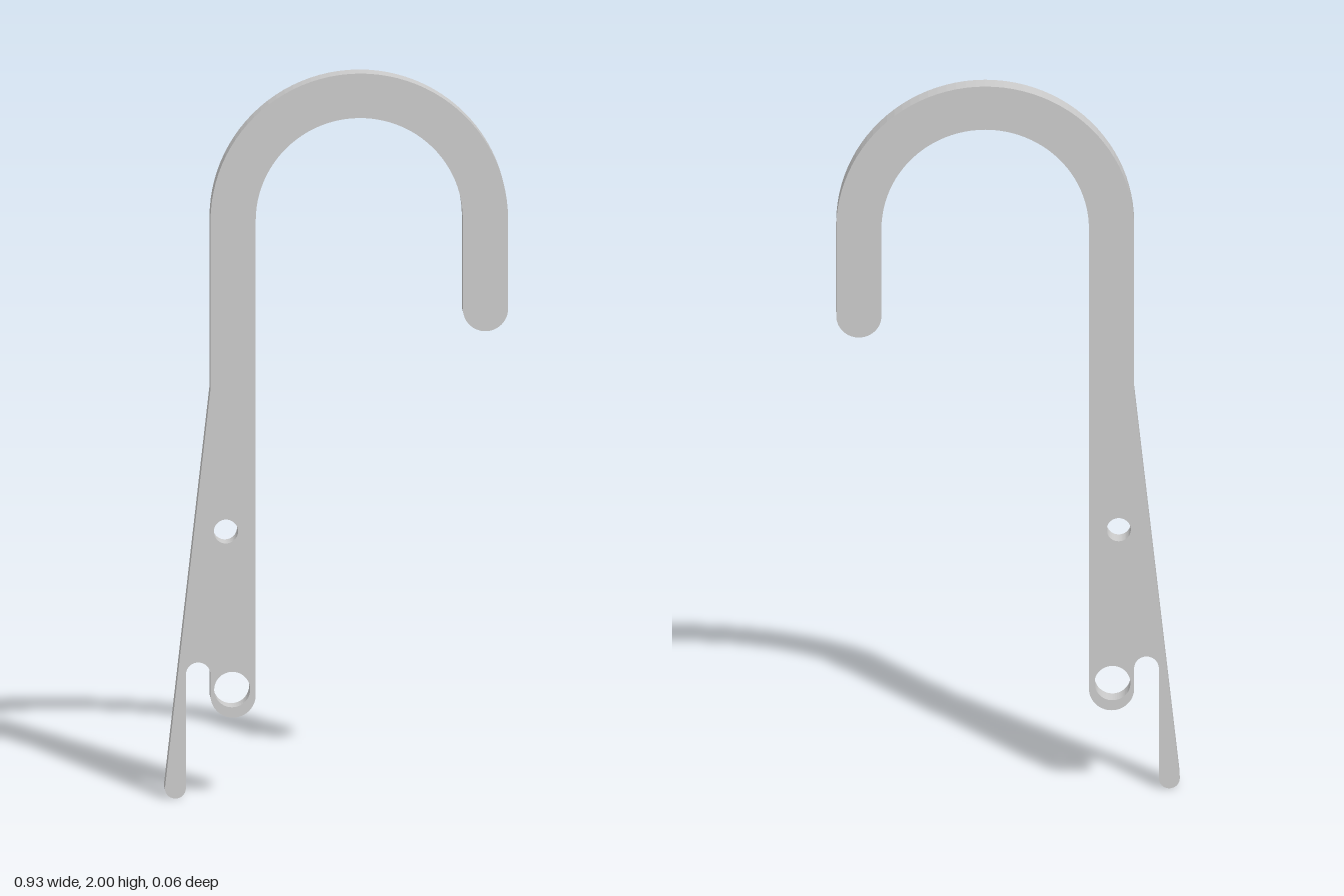
import * as THREE from 'three';

const THICKNESS = 0.0625;

export function createModel() {
  const model = new THREE.Group();
  const material = new THREE.MeshStandardMaterial({ color: 0xcccccc });

  const left = -0.343, right = -0.22;          // edges of the shank
  const bendX = 0.062, bendY = 1.595;          // centre of the hook bend
  const outerR = 0.405, innerR = 0.282;
  const tipR = (outerR - innerR) / 2;
  const prongOut = -0.467, prongIn = -0.41;

  const outline = new THREE.Shape();
  // Rounded end spanning x0 to x1: below the line y, or above it for a slot
  const roundEnd = (x0, x1, y, above = false) =>
    outline.absarc((x0 + x1) / 2, y, (x1 - x0) / 2, Math.PI, above ? 0 : 2 * Math.PI, above);

  // Narrow prong, slot and eye lobe at the bottom
  outline.moveTo(prongOut, 0.37);
  roundEnd(prongOut, prongIn, 0.0285);
  roundEnd(prongIn, left, 0.342, true);
  roundEnd(left, right, 0.284);
  // Inside of the bend, hook tip, outside of the bend
  outline.absarc(bendX, bendY, innerR, Math.PI, 0, true);
  roundEnd(bendX + innerR, bendX + outerR, 1.285 + tipR);
  outline.absarc(bendX, bendY, outerR, 0, Math.PI, false);
  // Shank edge that flares out to the prong
  outline.lineTo(left, 1.13);
  outline.closePath();

  // Pivot hole and eye: x, y, radius
  for (const [x, y, r] of [[-0.301, 0.737, 0.033], [-0.284, 0.3, 0.049]]) {
    outline.holes.push(new THREE.Path().absarc(x, y, r, 0, 2 * Math.PI, true));
  }

  const geometry = new THREE.ExtrudeGeometry(outline, {
    depth: THICKNESS, bevelEnabled: false, curveSegments: 24,
  });
  geometry.translate(0, 0, -THICKNESS / 2);

  const hook = new THREE.Mesh(geometry, material);
  hook.name = 'hookPlate';
  model.add(hook);
  return model;
}
